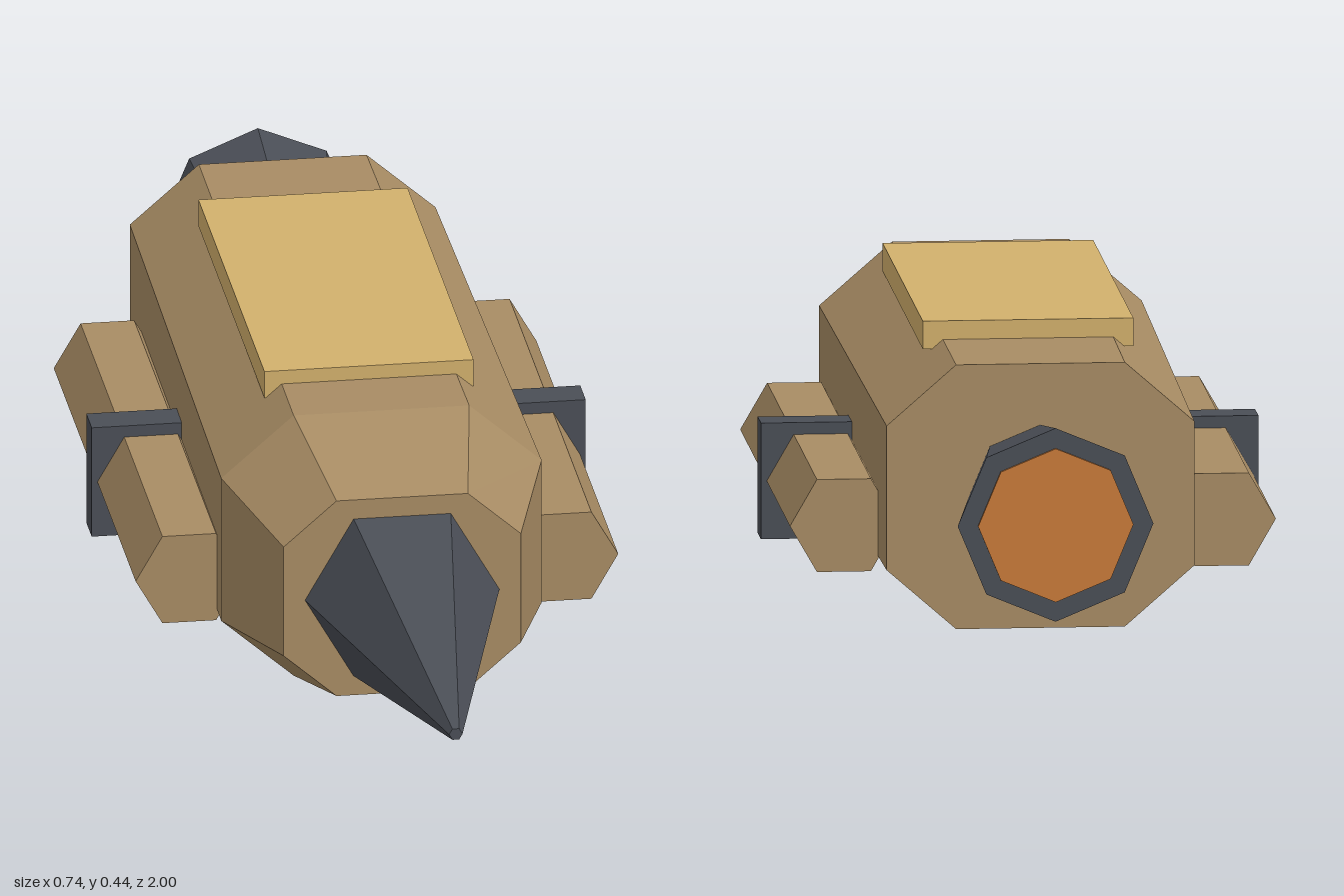
import * as THREE from 'three';

const AXIS_Y = 0.209; // height of the long axis

const paint = (color) => new THREE.MeshStandardMaterial({ color, flatShading: true });

function add(parent, name, geometry, material, x = 0, y = 0, z = 0) {
  const mesh = new THREE.Mesh(geometry, material);
  mesh.name = name;
  mesh.position.set(x, y, z);
  parent.add(mesh);
  return mesh;
}

// Faceted tube lying along z, from its front radius to its back radius
function prism(rFront, rBack, length, sides, start = 0) {
  return new THREE.CylinderGeometry(rFront, rBack, length, sides, 1, false, start).rotateX(Math.PI / 2);
}

// Closed loft through octagonal sections [z, halfWidth, halfHeight, cornerX, cornerY]
function octagonLoft(sections) {
  const positions = [];
  const index = [];
  for (const [z, w, h, cx, cy] of sections) {
    const ring = [[w, -cy], [w, cy], [cx, h], [-cx, h], [-w, cy], [-w, -cy], [-cx, -h], [cx, -h]];
    for (const [x, y] of ring) positions.push(x, y, z);
  }
  const last = (sections.length - 1) * 8;
  for (let s = 0; s < last; s += 8) {
    for (let j = 0; j < 8; j++) {
      const a = s + j, b = s + ((j + 1) % 8);
      index.push(a, a + 8, b, b, a + 8, b + 8);
    }
  }
  for (let j = 1; j < 7; j++) {
    index.push(0, j, j + 1, last, last + j + 1, last + j);
  }
  const geometry = new THREE.BufferGeometry();
  geometry.setAttribute('position', new THREE.Float32BufferAttribute(positions, 3));
  geometry.setIndex(index);
  const flat = geometry.toNonIndexed();
  flat.computeVertexNormals();
  return flat;
}

export function createModel() {
  const model = new THREE.Group();
  model.name = 'spacecraft';
  const tan = paint(0xa88c64);
  const gold = paint(0xd2b06c);
  const dark = paint(0x4a4e56);
  const glow = paint(0xc87a3a);

  // Hull with a chamfered front
  const hull = octagonLoft([
    [0.46, 0.177, 0.156, 0.098, 0.087],
    [0.25, 0.239, 0.208, 0.131, 0.114],
    [-0.745, 0.228, 0.198, 0.125, 0.108],
  ]);
  add(model, 'hull', hull, tan, 0, AXIS_Y, 0);

  // Six-sided nose spike
  add(model, 'noseCone', prism(0.01, 0.145, 0.54, 6, Math.PI / 2), dark, 0, AXIS_Y, 0.73);

  // Engine nozzle with its glowing disc
  add(model, 'nozzle', prism(0.105, 0.145, 0.257, 8), dark, 0, AXIS_Y, -0.8665);
  add(model, 'engineGlow', prism(0.115, 0.115, 0.02, 8), glow, 0, AXIS_Y, -0.99);

  // Roof panel
  add(model, 'roofPanel', new THREE.BoxGeometry(0.312, 0.042, 0.665), gold, 0, 0.416, -0.2075);

  // Side pods and the clamps that hold them
  for (const [side, label] of [[1, 'left'], [-1, 'right']]) {
    add(model, label + 'Pod', prism(0.08, 0.08, 0.825, 6, Math.PI / 2), tan, side * 0.28, 0.147, -0.2075);
    add(model, label + 'Clamp', new THREE.BoxGeometry(0.175, 0.174, 0.055), dark, side * 0.281, 0.147, -0.2075);
  }
  return model;
}
